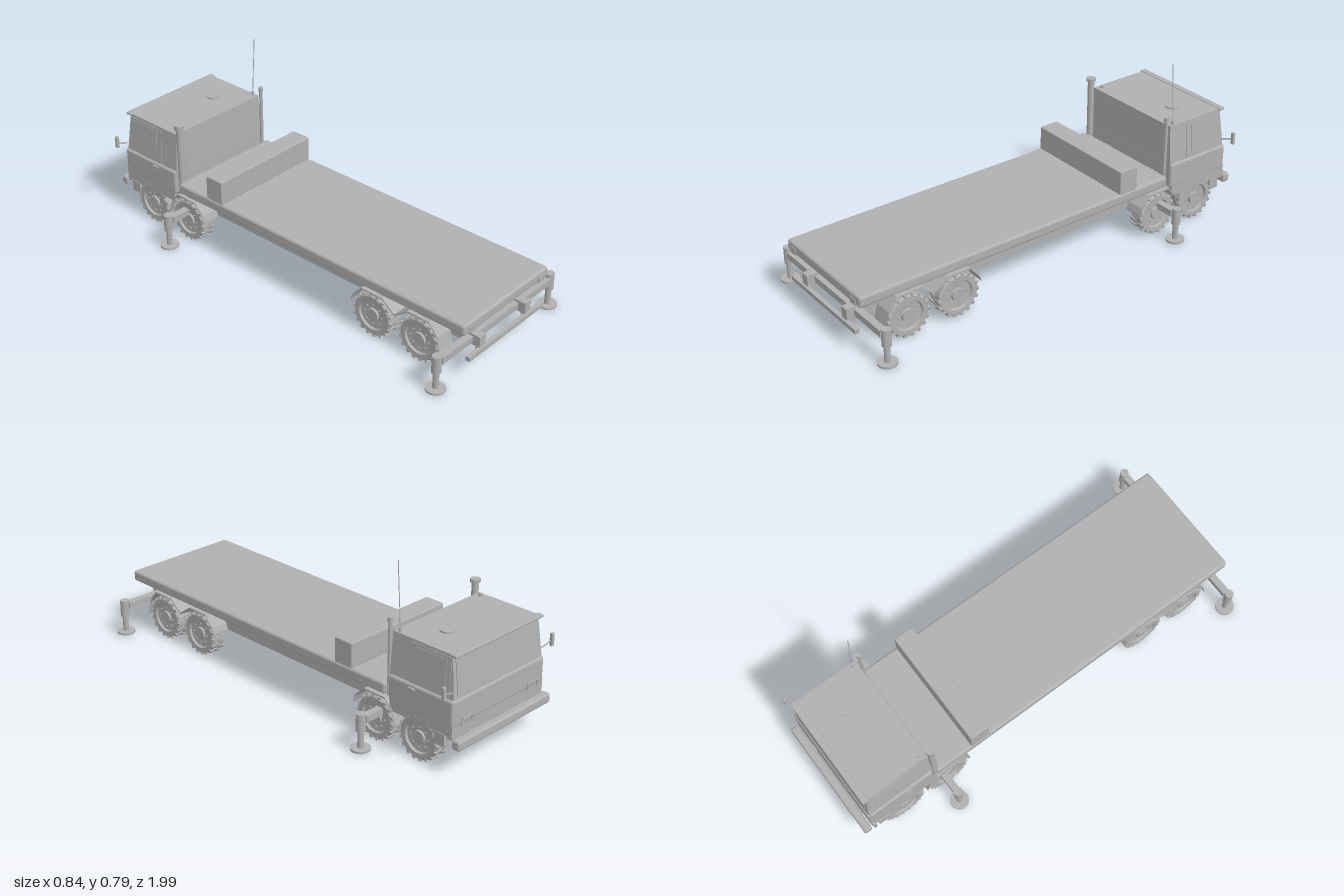
import * as THREE from 'three';
import { RoundedBoxGeometry } from 'three/addons/geometries/RoundedBoxGeometry.js';

export function createModel() {
  const model = new THREE.Group();
  model.name = 'flatbedTruck';
  const grey = new THREE.MeshStandardMaterial({ color: 0xb0b0b0 });
  grey.name = 'plain grey';

  const add = (name, geo, x = 0, y = 0, z = 0, parent = model) => {
    const m = new THREE.Mesh(geo, grey);
    m.name = name;
    m.position.set(x, y, z);
    parent.add(m);
    return m;
  };
  // Boxes are given by their limits on each axis
  const box = (name, x0, x1, y0, y1, z0, z1, parent) =>
    add(name, new THREE.BoxGeometry(x1 - x0, y1 - y0, z1 - z0), (x0 + x1) / 2, (y0 + y1) / 2, (z0 + z1) / 2, parent);
  const rounded = (name, x0, x1, y0, y1, z0, z1, r) =>
    add(name, new RoundedBoxGeometry(x1 - x0, y1 - y0, z1 - z0, 3, r), (x0 + x1) / 2, (y0 + y1) / 2, (z0 + z1) / 2);
  const post = (name, r, x, y0, y1, z, seg = 20, parent) =>
    add(name, new THREE.CylinderGeometry(r, r, y1 - y0, seg), x, (y0 + y1) / 2, z, parent);
  const rod = (name, a, b, r) => {
    const p = new THREE.Vector3(...a), q = new THREE.Vector3(...b);
    const m = add(name, new THREE.CylinderGeometry(r, r, p.distanceTo(q), 8));
    m.position.copy(p).add(q).multiplyScalar(0.5);
    m.quaternion.setFromUnitVectors(new THREE.Vector3(0, 1, 0), q.sub(p).normalize());
    return m;
  };
  // Box whose bottom and top rectangles differ: [half width, z min, z max]
  const tapered = (name, y0, y1, bottom, top) => {
    const g = new THREE.BoxGeometry(2, 2, 2), p = g.attributes.position;
    for (let i = 0; i < p.count; i++) {
      const [w, z0, z1] = p.getY(i) < 0 ? bottom : top;
      p.setXYZ(i, p.getX(i) * w, p.getY(i) < 0 ? y0 : y1, p.getZ(i) < 0 ? z0 : z1);
    }
    g.computeVertexNormals();
    return add(name, g);
  };
  // Side-view profile of [z, y] points, extruded across x0..x1
  const sidePlate = (name, pts, x0, x1) => {
    const s = new THREE.Shape(pts.map(([z, y]) => new THREE.Vector2(-z, y)));
    const g = new THREE.ExtrudeGeometry(s, { depth: x1 - x0, bevelEnabled: false });
    g.rotateY(Math.PI / 2);
    return add(name, g, x0, 0, 0);
  };

  // Load deck and the cross box behind the cab
  rounded('deck', -0.28, 0.28, 0.22, 0.27, -0.6, 0.99, 0.012);
  rounded('crossBox', -0.278, 0.278, 0.268, 0.38, -0.42, -0.325, 0.005);

  // Ladder chassis
  for (const s of [-1, 1]) {
    box('chassisRail', s * 0.152 - 0.019, s * 0.152 + 0.019, 0.11, 0.16, -0.9, 0.99);
    for (const z of [-0.55, 0.53, 0.77]) box('deckSupport', s * 0.152 - 0.015, s * 0.152 + 0.015, 0.16, 0.225, z - 0.03, z + 0.03);
    box('bumperBracket', s * 0.152 - 0.012, s * 0.152 + 0.012, 0.09, 0.12, 0.965, 0.985);
    box('rearLamp', s * 0.23 - 0.02, s * 0.23 + 0.02, 0.222, 0.25, 0.984, 0.993);
  }
  for (let i = 0; i < 11; i++) {
    const z = -0.42 + i * 0.132;
    box('crossMember', -0.14, 0.14, 0.118, 0.152, z - 0.014, z + 0.014);
  }
  box('rearUnderrunBar', -0.247, 0.247, 0.09, 0.11, 0.98, 1.0);

  // Wheels with tread lugs and hubs, facing out along +x before mirroring
  const tyreProfile = [[0.058, -0.034], [0.088, -0.035], [0.095, -0.028], [0.095, 0.028], [0.088, 0.035], [0.068, 0.034], [0.064, 0.024], [0.03, 0.022], [0.028, 0.032], [0, 0.032]]
    .map(([r, y]) => new THREE.Vector2(r, y));
  tyreProfile.unshift(new THREE.Vector2(0, -0.034));
  const tyreGeo = new THREE.LatheGeometry(tyreProfile, 28).toNonIndexed();
  tyreGeo.computeVertexNormals();
  tyreGeo.rotateZ(-Math.PI / 2);
  const lugGeo = new THREE.BoxGeometry(0.036, 0.012, 0.014);
  const boltGeo = new THREE.CylinderGeometry(0.004, 0.004, 0.008, 6).rotateZ(Math.PI / 2);
  const wheel = (side, z) => {
    const w = new THREE.Group();
    w.name = 'wheel';
    add('tyreAndRim', tyreGeo, 0, 0, 0, w);
    for (let i = 0; i < 36; i++) {
      const a = i / 36 * Math.PI * 2, half = i % 2 ? 1 : -1;
      const lug = add('treadLug', lugGeo, half * 0.017, Math.cos(a) * 0.094, Math.sin(a) * 0.094, w);
      lug.rotation.set(a, half * 0.3, 0, 'XYZ');
    }
    for (let i = 0; i < 8; i++) {
      const a = i / 8 * Math.PI * 2;
      add('wheelBolt', boltGeo, 0.025, Math.cos(a) * 0.045, Math.sin(a) * 0.045, w);
    }
    w.position.set(side * 0.244, 0.1, z);
    if (side < 0) w.rotation.y = Math.PI;
    model.add(w);
  };
  for (const z of [0.77, 0.53, -0.55, -0.78]) {
    wheel(1, z);
    wheel(-1, z);
    rod('axle', [-0.22, 0.1, z], [0.22, 0.1, z], 0.015);
    add('differential', new THREE.SphereGeometry(0.032, 16, 10), 0, 0.1, z);
  }

  // Folded mudguards: a thin strip following a line of [z, y] points
  const mudguard = (line) => {
    const inner = line.map(([z, y]) => [z, y - 0.007]).reverse();
    for (const x0 of [-0.284, 0.202]) sidePlate('mudguard', [...line, ...inner], x0, x0 + 0.082);
  };
  mudguard([[0.885, 0.09], [0.868, 0.16], [0.825, 0.213], [0.715, 0.213], [0.65, 0.165], [0.585, 0.213], [0.475, 0.213], [0.43, 0.16], [0.42, 0.135]]);
  mudguard([[-0.435, 0.135], [-0.445, 0.165], [-0.495, 0.213], [-0.605, 0.213], [-0.645, 0.17], [-0.665, 0.11]]);

  // Stabiliser legs
  for (const z of [0.94, -0.57]) {
    const legs = new THREE.Group();
    legs.name = 'stabilisers';
    model.add(legs);
    box('stabiliserBeam', -0.36, 0.36, 0.12, 0.15, z - 0.016, z + 0.016, legs);
    for (const s of [-1, 1]) {
      post('stabiliserSleeve', 0.02, s * 0.378, 0.088, 0.165, z, 20, legs);
      post('stabiliserLeg', 0.013, s * 0.378, 0.01, 0.09, z, 16, legs);
      post('stabiliserFoot', 0.042, s * 0.378, 0.005, 0.014, z, 28, legs);
    }
  }

  // Cab: lower shell, skirts, belly and upper cabin
  rounded('cabLowerBody', -0.28, 0.28, 0.205, 0.32, -0.95, -0.62, 0.012);
  box('cabFrontPanel', -0.278, 0.278, 0.155, 0.22, -0.948, -0.925);
  tapered('cabBelly', 0.155, 0.22, [0.185, -0.94, -0.64], [0.2, -0.94, -0.63]);
  tapered('cabUpperBody', 0.312, 0.5, [0.27, -0.944, -0.62], [0.257, -0.922, -0.622]);
  rounded('cabVisor', -0.265, 0.265, 0.492, 0.504, -0.945, -0.915, 0.004);
  box('cabRearMount', -0.17, -0.13, 0.13, 0.25, -0.625, -0.595);
  box('cabRearMount', 0.13, 0.17, 0.13, 0.25, -0.625, -0.595);
  rounded('frontBumper', -0.284, 0.284, 0.122, 0.165, -0.99, -0.952, 0.01);
  for (const s of [-1, 1]) {
    box('cabSkirt', s * 0.272 - 0.007, s * 0.272 + 0.007, 0.165, 0.215, -0.94, -0.63);
    box('bumperArm', s * 0.152 - 0.02, s * 0.152 + 0.02, 0.115, 0.16, -0.96, -0.86);
    box('cabStep', s * 0.27 - 0.012, s * 0.27 + 0.012, 0.115, 0.168, -0.915, -0.865);
    box('doorHandle', s * 0.283 - 0.005, s * 0.283 + 0.005, 0.298, 0.306, -0.76, -0.73);

    // Door and side window, laid on the slanted cab side
    const side = new THREE.Group();
    side.name = 'cabDoor';
    side.position.set(s * 0.2642, 0.405, -0.82);
    side.rotation.z = s * 0.069;
    model.add(side);
    box('doorPanel', -0.002, 0.002, -0.085, 0.083, -0.1, 0.1, side);
    box('sideWindow', -0.004, 0.004, -0.065, 0.07, -0.08, 0.075, side);

    // Mirrors on angled arms
    rod('mirrorArm', [s * 0.268, 0.35, -0.935], [s * 0.33, 0.37, -0.945], 0.003);
    rounded('mirror', s * 0.329 - 0.008, s * 0.329 + 0.008, 0.345, 0.402, -0.953, -0.938, 0.004);

    // Grab loops and wipers on the nose
    const gx = s * 0.2;
    rod('noseGrabRail', [gx - 0.03, 0.235, -0.957], [gx + 0.03, 0.235, -0.957], 0.003);
    for (const e of [-0.03, 0.03]) rod('noseGrabPost', [gx + e, 0.205, -0.957], [gx + e, 0.235, -0.957], 0.003);
    rod('wiper', [s * 0.1, 0.335, -0.945], [s * 0.1 - 0.045, 0.385, -0.939], 0.0025);
  }
  const screen = add('windscreen', new THREE.BoxGeometry(0.49, 0.15, 0.005), 0, 0.405, -0.9335);
  screen.rotation.x = 0.118;

  // Roof fittings
  post('roofHatch', 0.032, 0.11, 0.498, 0.507, -0.77, 32);
  post('roofStub', 0.008, -0.232, 0.498, 0.512, -0.65, 12);
  post('aerialBase', 0.007, 0.245, 0.495, 0.516, -0.647, 12);
  rod('aerial', [0.245, 0.51, -0.647], [0.245, 0.79, -0.628], 0.0018);

  // Exhaust and intake stacks behind the cab
  post('intakeStack', 0.015, -0.255, 0.2, 0.545, -0.602);
  post('intakeCap', 0.022, -0.255, 0.541, 0.555, -0.602);
  post('exhaustStack', 0.008, 0.253, 0.2, 0.54, -0.602, 16);
  post('exhaustCap', 0.011, 0.253, 0.53, 0.55, -0.602, 16);

  return model;
}
